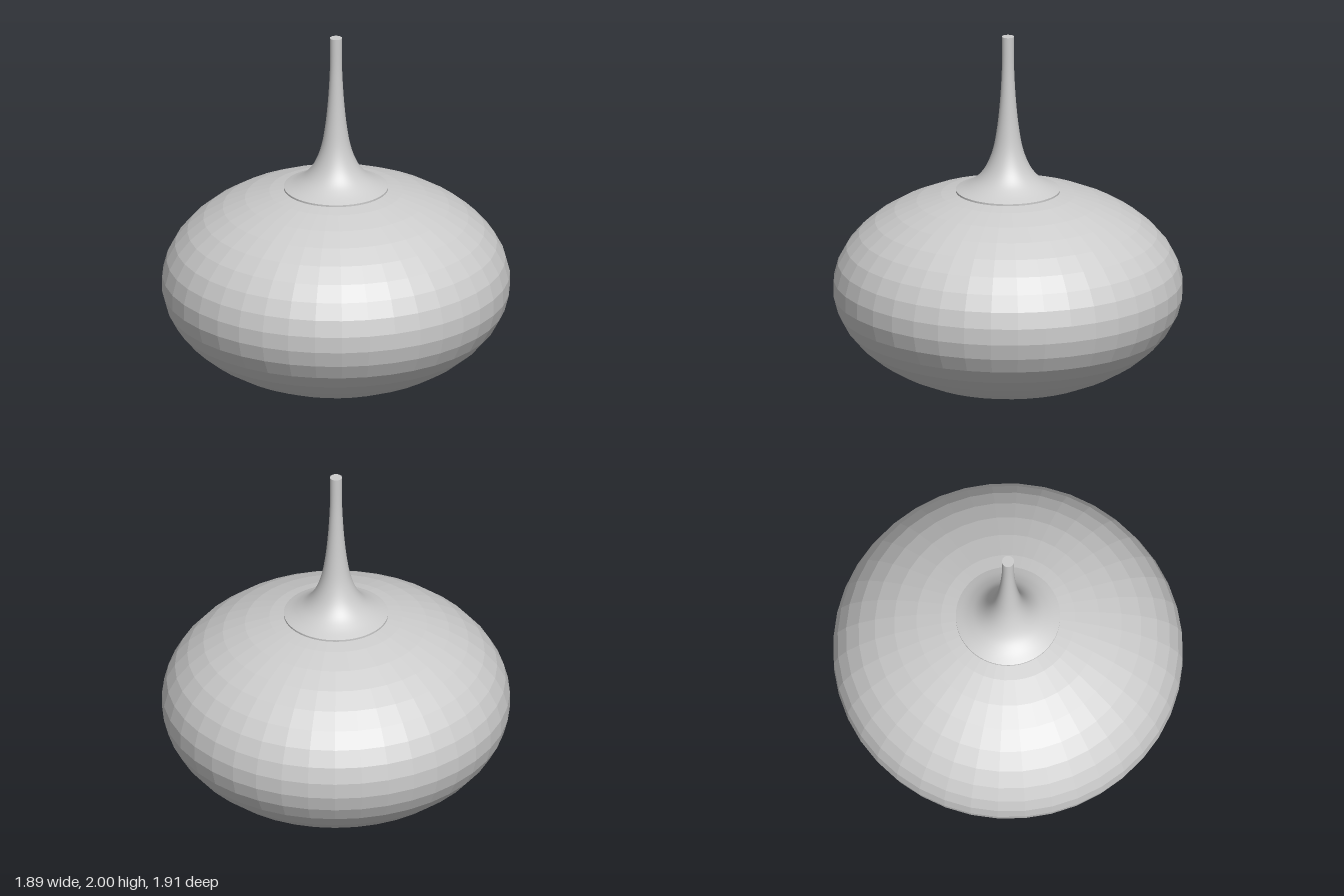
import * as THREE from 'three';

const V = (x, y) => new THREE.Vector2(x, y);

export function createModel() {
  const model = new THREE.Group();
  model.name = 'bottleVase';
  const grey = new THREE.MeshStandardMaterial({ color: 0xcccccc, flatShading: true });
  grey.name = 'faceted grey';
  const smoothGrey = new THREE.MeshStandardMaterial({ color: 0xcccccc });
  smoothGrey.name = 'smooth grey';

  const add = (name, points, segments, material) => {
    const mesh = new THREE.Mesh(new THREE.LatheGeometry(points, segments), material);
    mesh.name = name;
    model.add(mesh);
    return mesh;
  };

  // Faceted, flattened globe: rings every 9 degrees, offset half a step from the poles
  const radius = 0.958, half = 0.575, centre = 0.573;
  const globe = [V(0, 0)];
  for (let i = 0; i < 20; i++) {
    const a = THREE.MathUtils.degToRad(4.5 + 9 * i);
    globe.push(V(radius * Math.sin(a), centre - half * Math.cos(a)));
  }
  globe.push(V(0, globe[20].y));
  const body = add('body', globe, 40, grey);
  body.scale.x = 0.992;

  // Smooth flared neck
  const flare = new THREE.SplineCurve([
    V(0.285, 1.13), V(0.225, 1.157), V(0.165, 1.2), V(0.118, 1.265), V(0.082, 1.36),
    V(0.06, 1.48), V(0.045, 1.62), V(0.036, 1.76), V(0.033, 1.86), V(0.033, 2),
  ]);
  add('neck', flare.getPoints(40), 64, smoothGrey);

  // Thin rim, underside and flat tip closing the neck
  add('neckRim', [V(0.285, 1.118), V(0.285, 1.13)], 64, smoothGrey);
  add('neckUnderside', [V(0, 1.118), V(0.285, 1.118)], 64, smoothGrey);
  add('neckTip', [V(0.033, 2), V(0, 2)], 64, smoothGrey);

  return model;
}
